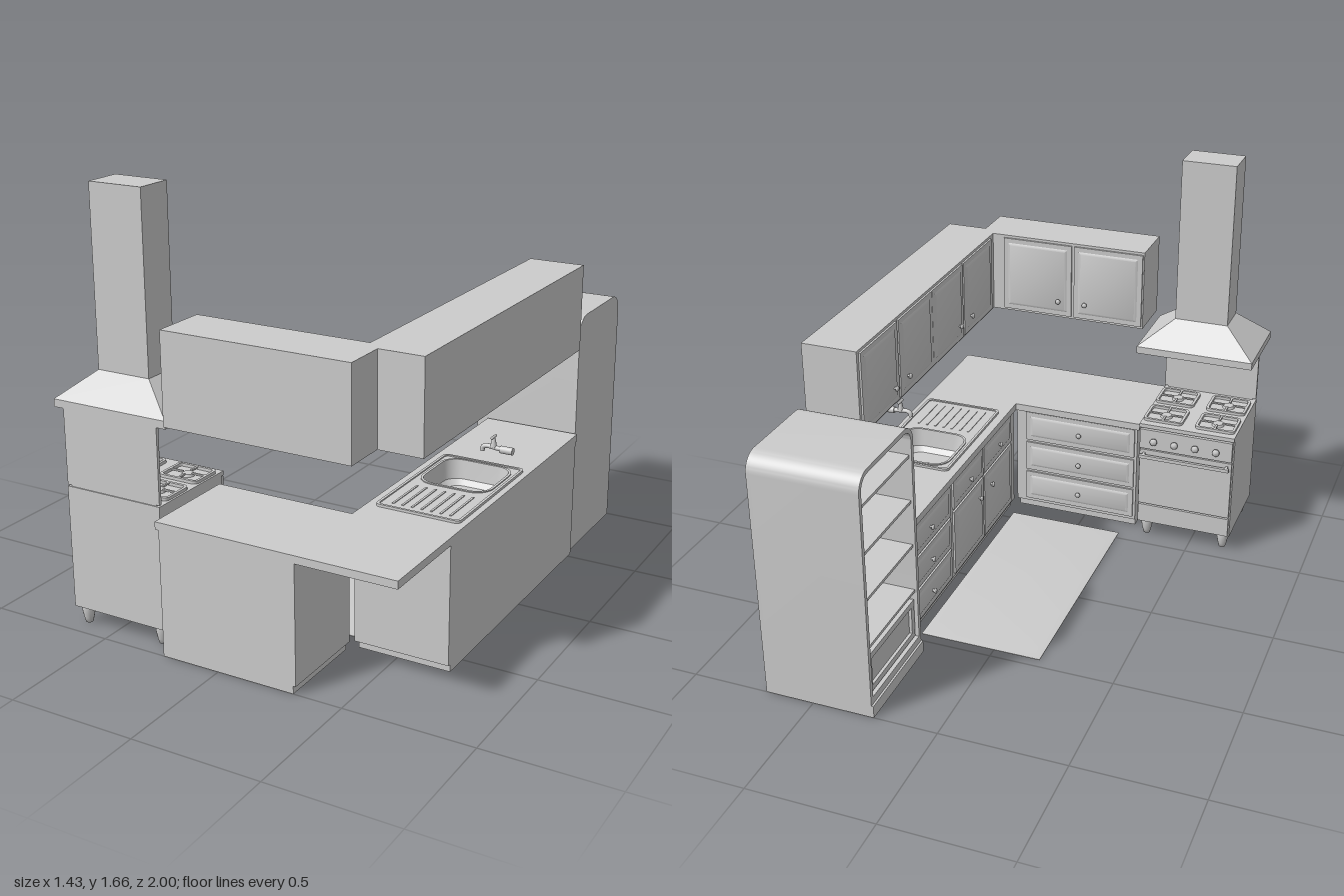
import * as THREE from 'three';
import { toCreasedNormals } from 'three/addons/utils/BufferGeometryUtils.js';

const mat = new THREE.MeshStandardMaterial({ color: 0xcccccc });
const V = (x, y, z) => new THREE.Vector3(x, y, z);

function add(parent, name, geo) {
  const m = new THREE.Mesh(geo, mat);
  m.name = name;
  parent.add(m);
  return m;
}
function group(parent, name) {
  const g = new THREE.Group();
  g.name = name;
  parent.add(g);
  return g;
}
// Box given by its minimum and maximum corners
function box(parent, name, x0, x1, y0, y1, z0, z1) {
  const g = new THREE.BoxGeometry(x1 - x0, y1 - y0, z1 - z0);
  return add(parent, name, g.translate((x0 + x1) / 2, (y0 + y1) / 2, (z0 + z1) / 2));
}
// Outline of a rounded rectangle around (cx, cy)
function outline(cx, cy, w, h, r = 0, seg = 6) {
  const pts = [];
  for (let c = 0; c < 4; c++) {
    const sx = c === 0 || c === 3 ? 1 : -1, sy = c < 2 ? 1 : -1;
    for (let i = 0; i <= (r ? seg : 0); i++) {
      const a = (c + i / seg) * Math.PI / 2;
      pts.push(new THREE.Vector2(cx + sx * (w / 2 - r) + r * Math.cos(a), cy + sy * (h / 2 - r) + r * Math.sin(a)));
    }
  }
  return pts;
}
// Horizontal slab from an (x, z) outline with holes
function slab(parent, name, pts, top, thick, ...holes) {
  const s = new THREE.Shape(pts);
  holes.forEach(h => s.holes.push(new THREE.Path(h)));
  const g = new THREE.ExtrudeGeometry(s, { depth: thick, bevelEnabled: false }).rotateX(Math.PI / 2).translate(0, top, 0);
  return add(parent, name, toCreasedNormals(g, 0.6));
}
// Skin through rectangular sections [y, cx, cz, w, d, r]; a falling order faces inward
function loft(sections, startCap = true) {
  const rings = sections.map(([y, cx, cz, w, d, r]) => outline(cx, cz, w, d, r).map(p => V(p.x, y, p.y)));
  const n = rings[0].length, pos = [];
  const tri = (...t) => t.forEach(p => pos.push(p.x, p.y, p.z));
  const mid = i => V(sections[i][1], sections[i][0], sections[i][2]);
  const last = rings.length - 1;
  for (let k = 0; k < n; k++) {
    const j = (k + 1) % n;
    for (let i = 0; i < last; i++) {
      tri(rings[i][k], rings[i + 1][k], rings[i][j]);
      tri(rings[i][j], rings[i + 1][k], rings[i + 1][j]);
    }
    tri(mid(last), rings[last][j], rings[last][k]);
    if (startCap) tri(mid(0), rings[0][k], rings[0][j]);
  }
  const g = new THREE.BufferGeometry();
  g.setAttribute('position', new THREE.Float32BufferAttribute(pos, 3));
  return toCreasedNormals(g, 0.6);
}
// Turned knob pointing along local +z
function knob(parent, u, y, z, s = 1) {
  const prof = [[0, 0], [0.006, 0], [0.004, 0.008], [0.011, 0.012], [0.011, 0.017], [0.006, 0.02], [0, 0.021]];
  const g = new THREE.LatheGeometry(prof.map(p => new THREE.Vector2(p[0] * s, p[1] * s)), 14);
  add(parent, 'knob', g.rotateX(Math.PI / 2).translate(u, y, z));
}
// Door or drawer front with a raised centre panel and a knob
function front(parent, name, u0, u1, y0, y1, ku, ky) {
  const g = group(parent, name), w = u1 - u0 - 0.012, h = y1 - y0 - 0.012;
  const u = (u0 + u1) / 2, y = (y0 + y1) / 2;
  box(g, 'frontSlab', u - w / 2, u + w / 2, y - h / 2, y + h / 2, 0, 0.008);
  const p = loft([[0.008, 0, 0, w - 0.04, h - 0.04, 0], [0.013, 0, 0, w - 0.06, h - 0.06, 0]]);
  add(g, 'raisedPanel', p.rotateX(Math.PI / 2).translate(u, y, 0));
  knob(g, ku ?? u, ky ?? y, 0.01);
}
function drawerStack(parent, u0, u1) {
  for (let i = 0; i < 3; i++) front(parent, 'drawer', u0, u1, 0.04 + i * 0.148, 0.188 + i * 0.148);
}

function lowerCabinets(root, bowl) {
  const g = group(root, 'lowerCabinets');
  box(g, 'plinthAcross', -0.235, 0.31, 0, 0.03, 0.636, 1);
  box(g, 'carcassAcross', -0.235, 0.32, 0.03, 0.49, 0.628, 1);
  box(g, 'plinthAlong', 0.344, 0.71, 0, 0.03, -0.53, 0.6);
  box(g, 'carcassAlong', 0.332, 0.71, 0.03, 0.41, -0.53, 0.615);
  slab(g, 'carcassAlongTop', outline(0.521, 0.0425, 0.378, 1.145), 0.49, 0.08, bowl);
  const across = group(g, 'frontsAcross');
  across.rotation.y = Math.PI;
  across.position.z = 0.628;
  drawerStack(across, -0.28, 0.23);
  const along = group(g, 'frontsAlong');
  along.rotation.y = -Math.PI / 2;
  along.position.x = 0.332;
  drawerStack(along, -0.53, -0.1);
  for (const [a, b, k] of [[-0.08, 0.245, 0.18], [0.245, 0.57, 0.31]]) {
    front(along, 'drawer', a, b, 0.345, 0.484);
    front(along, 'door', a, b, 0.04, 0.345, k, 0.27);
  }
  const L = [[-0.25, 0.6], [0.315, 0.6], [0.315, -0.545], [0.71, -0.545], [0.71, 1], [-0.25, 1]];
  slab(g, 'worktop', L.map(p => new THREE.Vector2(...p)), 0.52, 0.03, bowl);
}

function upperCabinets(root) {
  const g = group(root, 'upperCabinets');
  box(g, 'carcassAcross', -0.195, 0.54, 0.88, 1.225, 0.783, 1);
  box(g, 'carcassAlong', 0.487, 0.71, 0.88, 1.225, -0.53, 0.83);
  const across = group(g, 'doorsAcross');
  across.rotation.y = Math.PI;
  across.position.z = 0.783;
  front(across, 'door', -0.44, -0.12, 0.885, 1.22, -0.18, 0.96);
  front(across, 'door', -0.12, 0.195, 0.885, 1.22, -0.06, 0.96);
  const along = group(g, 'doorsAlong');
  along.rotation.y = -Math.PI / 2;
  along.position.x = 0.487;
  for (const c of [-0.2, 0.43]) for (const s of [-1, 1]) {
    const e = c + s * 0.32;
    front(along, 'door', Math.min(c, e), Math.max(c, e), 0.885, 1.22, c + s * 0.06, 0.96);
  }
}

function sink(root, bowl) {
  const g = group(root, 'sink');
  slab(g, 'sinkPlate', outline(0.518, 0.215, 0.335, 0.57, 0.02), 0.525, 0.005, bowl);
  slab(g, 'sinkRim', outline(0.518, 0.215, 0.335, 0.57, 0.02), 0.53, 0.005, outline(0.518, 0.215, 0.315, 0.55, 0.015));
  slab(g, 'bowlRim', outline(0.517, 0.09, 0.29, 0.285, 0.07), 0.529, 0.004, bowl);
  add(g, 'bowl', loft([[0.529, 0.517, 0.09, 0.27, 0.265, 0.06], [0.455, 0.517, 0.09, 0.25, 0.245, 0.06],
    [0.435, 0.517, 0.09, 0.21, 0.205, 0.05]], false));
  add(g, 'drain', new THREE.CylinderGeometry(0.02, 0.02, 0.004, 20).translate(0.517, 0.437, 0.09));
  for (let i = 0; i < 7; i++) box(g, 'drainRidge', 0.4 + i * 0.038, 0.408 + i * 0.038, 0.525, 0.528, 0.27, 0.46);

  // Wall tap
  const t = group(root, 'tap');
  const path = new THREE.CatmullRomCurve3([V(0.71, 0.662, 0.105), V(0.65, 0.664, 0.105), V(0.605, 0.667, 0.105), V(0.589, 0.66, 0.105), V(0.587, 0.645, 0.105)]);
  add(t, 'spout', new THREE.TubeGeometry(path, 24, 0.009, 12)).material = new THREE.MeshStandardMaterial({ color: 0xcccccc, side: THREE.DoubleSide });
  add(t, 'wallFlange', new THREE.CylinderGeometry(0.014, 0.014, 0.05, 16).rotateZ(Math.PI / 2).translate(0.685, 0.662, 0.105));
  add(t, 'valve', new THREE.CylinderGeometry(0.006, 0.013, 0.035, 14).translate(0.632, 0.685, 0.105));
  add(t, 'valveHandle', new THREE.CapsuleGeometry(0.005, 0.035, 4, 10).rotateX(Math.PI / 2).translate(0.632, 0.706, 0.105));
}

function stove(root) {
  const g = group(root, 'stove');
  box(g, 'stoveBody', -0.675, -0.265, 0.07, 0.535, 0.565, 0.95);
  box(g, 'hob', -0.675, -0.265, 0.535, 0.552, 0.55, 0.95);
  box(g, 'raisedLid', -0.675, -0.265, 0.558, 0.855, 0.936, 0.949);
  box(g, 'lidHinge', -0.66, -0.28, 0.55, 0.56, 0.938, 0.946);
  box(g, 'controlPanel', -0.67, -0.27, 0.44, 0.53, 0.545, 0.566);
  box(g, 'ovenDoor', -0.67, -0.27, 0.17, 0.432, 0.55, 0.566);
  box(g, 'warmingDrawer', -0.67, -0.27, 0.078, 0.162, 0.552, 0.566);
  box(g, 'ovenHandle', -0.665, -0.275, 0.405, 0.42, 0.517, 0.53);
  for (const x of [-0.655, -0.295]) box(g, 'handleBracket', x, x + 0.01, 0.407, 0.418, 0.525, 0.552);
  const knobs = group(g, 'controlKnobs');
  knobs.rotation.y = Math.PI;
  for (let i = 0; i < 4; i++) knob(knobs, 0.335 + i * 0.09, 0.485, -0.547, 1.4);
  // Burners with pan supports
  for (const x of [-0.58, -0.355]) for (const z of [0.65, 0.83]) {
    const b = group(g, 'burner');
    slab(b, 'panSupport', outline(x, z, 0.17, 0.14, 0.02), 0.566, 0.012, outline(x, z, 0.148, 0.118, 0.012));
    add(b, 'burnerCap', new THREE.CylinderGeometry(0.022, 0.026, 0.01, 20).translate(x, 0.557, z));
    for (const s of [-1, 1]) {
      box(b, 'supportBar', x + s * 0.05 - 0.03, x + s * 0.05 + 0.03, 0.56, 0.566, z - 0.004, z + 0.004);
      box(b, 'supportBar', x - 0.004, x + 0.004, 0.56, 0.566, z + s * 0.042 - 0.022, z + s * 0.042 + 0.022);
    }
  }
  const leg = [[0, 0], [0.014, 0], [0.019, 0.02], [0.025, 0.05], [0.022, 0.072]].map(p => new THREE.Vector2(...p));
  for (const x of [-0.64, -0.3]) for (const z of [0.6, 0.915])
    add(g, 'stoveLeg', new THREE.LatheGeometry(leg, 14).translate(x, 0, z));

  const h = group(root, 'extractorHood');
  box(h, 'hoodRim', -0.715, -0.225, 0.85, 0.88, 0.602, 0.95);
  add(h, 'hoodCanopy', loft([[0.88, -0.47, 0.776, 0.49, 0.348, 0], [0.985, -0.47, 0.78, 0.222, 0.15, 0]]));
  box(h, 'chimney', -0.581, -0.359, 0.985, 1.665, 0.705, 0.855);
}

// Tall open-fronted cabinet with a rounded top
function tallCabinet(root) {
  const g = group(root, 'tallCabinet');
  const arch = (Cls, a, b, y0, y1, r) => {
    const s = new Cls();
    s.moveTo(a, y0).lineTo(b, y0).lineTo(b, y1 - r).absarc(b - r, y1 - r, r, 0, Math.PI / 2);
    s.absarc(a + r, y1 - r, r, Math.PI / 2, Math.PI).lineTo(a, y0);
    return s;
  };
  const shell = arch(THREE.Shape, 0.562, 1, 0.05, 1, 0.07);
  shell.holes.push(arch(THREE.Path, 0.58, 0.982, 0.08, 0.982, 0.052));
  const opts = depth => ({ depth, bevelEnabled: false, curveSegments: 8 });
  const turn = (geo, x) => toCreasedNormals(geo.rotateY(Math.PI / 2).translate(x, 0, 0), 0.6);
  add(g, 'shell', turn(new THREE.ExtrudeGeometry(shell, opts(0.42)), 0.26));
  add(g, 'backPanel', turn(new THREE.ExtrudeGeometry(arch(THREE.Shape, 0.562, 1, 0.05, 1, 0.07), opts(0.015)), 0.68));
  box(g, 'base', 0.252, 0.695, 0, 0.05, -1, -0.562);
  for (const y of [0.28, 0.48, 0.67, 0.86]) box(g, 'shelf', 0.27, 0.68, y, y + 0.012, -0.982, -0.58);
  box(g, 'bottomDrawer', 0.285, 0.66, 0.085, 0.25, -0.975, -0.587);
  slab(g, 'drawerFrame', outline(0, 0, 0.39, 0.165), 0, 0.012, outline(0, 0, 0.34, 0.115))
    .geometry.rotateX(Math.PI / 2).rotateY(-Math.PI / 2).translate(0.273, 0.168, -0.781);
}

export function createModel() {
  const root = new THREE.Group();
  root.name = 'kitchen';
  const bowl = outline(0.517, 0.09, 0.27, 0.265, 0.06);
  lowerCabinets(root, bowl);
  upperCabinets(root);
  sink(root, bowl);
  stove(root);
  tallCabinet(root);
  add(root, 'rug', loft([[0, 0.058, 0.04, 0.496, 1, 0], [0.003, 0.058, 0.04, 0.496, 1, 0], [0.007, 0.058, 0.04, 0.44, 0.94, 0]]));
  return root;
}
